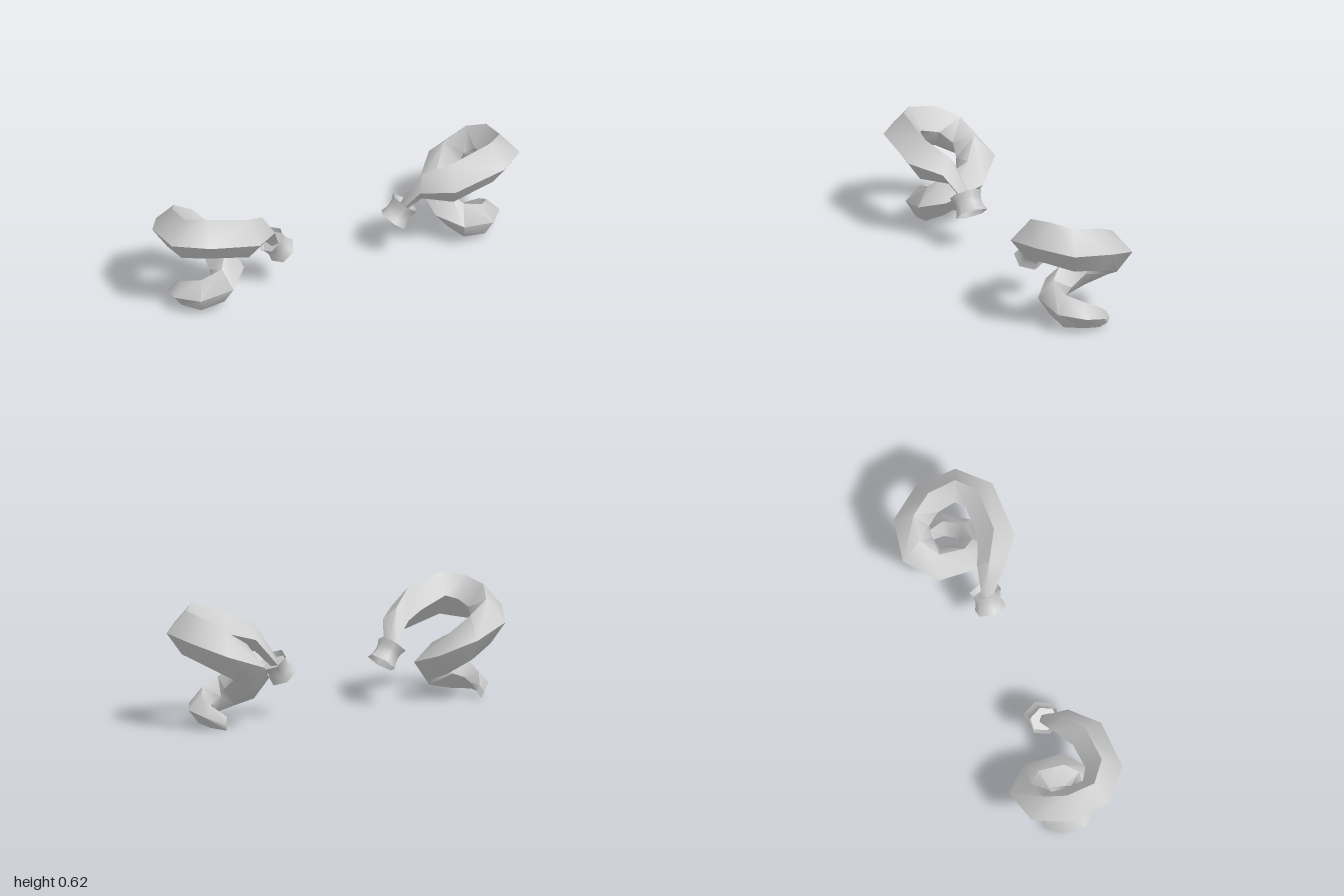
import * as THREE from 'three';
import { toCreasedNormals } from 'three/addons/utils/BufferGeometryUtils.js';

// Horn centre line from root to tip: x, y, z, half width, half height of the diamond section
const STATIONS = [
  [0.345, 0.255, 0.04, 0.025, 0.03],
  [0.385, 0.31, 0.055, 0.038, 0.045],
  [0.455, 0.415, 0.10, 0.07, 0.07],
  [0.59, 0.45, 0.19, 0.095, 0.11],
  [0.81, 0.51, 0.19, 0.095, 0.112],
  [0.915, 0.49, 0.10, 0.092, 0.113],
  [0.913, 0.463, -0.06, 0.092, 0.115],
  [0.845, 0.405, -0.175, 0.093, 0.115],
  [0.72, 0.335, -0.193, 0.102, 0.114],
  [0.635, 0.25, -0.11, 0.092, 0.105],
  [0.635, 0.19, 0.04, 0.09, 0.10],
  [0.69, 0.145, 0.11, 0.07, 0.095],
  [0.81, 0.11, 0.097, 0.063, 0.087],
  [0.875, 0.095, 0.015, 0.063, 0.07],
  [0.87, 0.068, -0.07, 0.045, 0.056],
  [0.82, 0.036, -0.14, 0.02, 0.035],
];

// Diamond-section tube swept along the stations; side is +1 or -1
function hornGeometry(side) {
  const centres = STATIONS.map(([x, y, z]) => new THREE.Vector3(x, y, z));
  const last = centres.length - 1;
  const up = new THREE.Vector3(0, 1, 0);
  const positions = [];
  const index = [];
  const tri = (a, b, c) => (side > 0 ? index.push(a, b, c) : index.push(a, c, b));

  centres.forEach((c, i) => {
    const [, , , halfWidth, halfHeight] = STATIONS[i];
    // Tangent as the mean of the two neighbouring directions seen from above
    const tangent = new THREE.Vector3();
    if (i > 0) tangent.add(c.clone().sub(centres[i - 1]).setY(0).normalize());
    if (i < last) tangent.add(centres[i + 1].clone().sub(c).setY(0).normalize());
    const outer = tangent.cross(up).normalize();
    // Sections stand upright, leaning slightly towards the coil axis
    const top = up.clone().addScaledVector(outer, -0.1);
    for (let k = 0; k < 4; k++) {
      const a = (k * Math.PI) / 2;
      const p = c.clone()
        .addScaledVector(outer, Math.cos(a) * halfWidth)
        .addScaledVector(top, Math.sin(a) * halfHeight);
      positions.push(p.x * side, p.y, p.z);
    }
  });

  for (let i = 0; i < last; i++) {
    for (let k = 0; k < 4; k++) {
      const a = i * 4 + k;
      const b = i * 4 + ((k + 1) % 4);
      tri(a, a + 4, b);
      tri(b, a + 4, b + 4);
    }
  }
  // Caps at root and tip
  const e = last * 4;
  tri(0, 1, 2);
  tri(0, 2, 3);
  tri(e, e + 2, e + 1);
  tri(e, e + 3, e + 2);

  const geometry = new THREE.BufferGeometry();
  geometry.setAttribute('position', new THREE.Float32BufferAttribute(positions, 3));
  geometry.setIndex(index);
  return toCreasedNormals(geometry, 1.2);
}

// Six-sided collar with a narrow waist
function collarGeometry() {
  const profile = [
    [0.087, -0.055], [0.074, -0.025], [0.071, 0], [0.074, 0.025], [0.087, 0.055],
  ].map(([r, y]) => new THREE.Vector2(r, y));
  return new THREE.LatheGeometry(profile, 6, Math.PI / 2);
}

export function createModel() {
  const model = new THREE.Group();
  model.name = 'hornPair';
  const grey = new THREE.MeshStandardMaterial({ color: 0xcccccc, side: THREE.DoubleSide });
  grey.name = 'hornGrey';

  for (const side of [1, -1]) {
    const group = new THREE.Group();
    group.name = side > 0 ? 'leftHornGroup' : 'rightHornGroup';

    const horn = new THREE.Mesh(hornGeometry(side), grey);
    horn.name = 'spiralHorn';

    // Collar around the horn root, closed by a floor inside
    const collar = new THREE.Group();
    collar.name = 'collar';
    const sleeve = new THREE.Mesh(collarGeometry(), grey);
    sleeve.name = 'collarSleeve';
    const floor = new THREE.Mesh(new THREE.CircleGeometry(0.074, 6).rotateX(-Math.PI / 2), grey);
    floor.name = 'collarFloor';
    floor.position.y = 0.025;
    collar.add(sleeve, floor);
    collar.scale.x = 0.88;
    collar.position.set(0.353 * side, 0.257, 0.042);
    collar.rotation.z = -0.67 * side;

    group.add(horn, collar);
    model.add(group);
  }
  return model;
}
